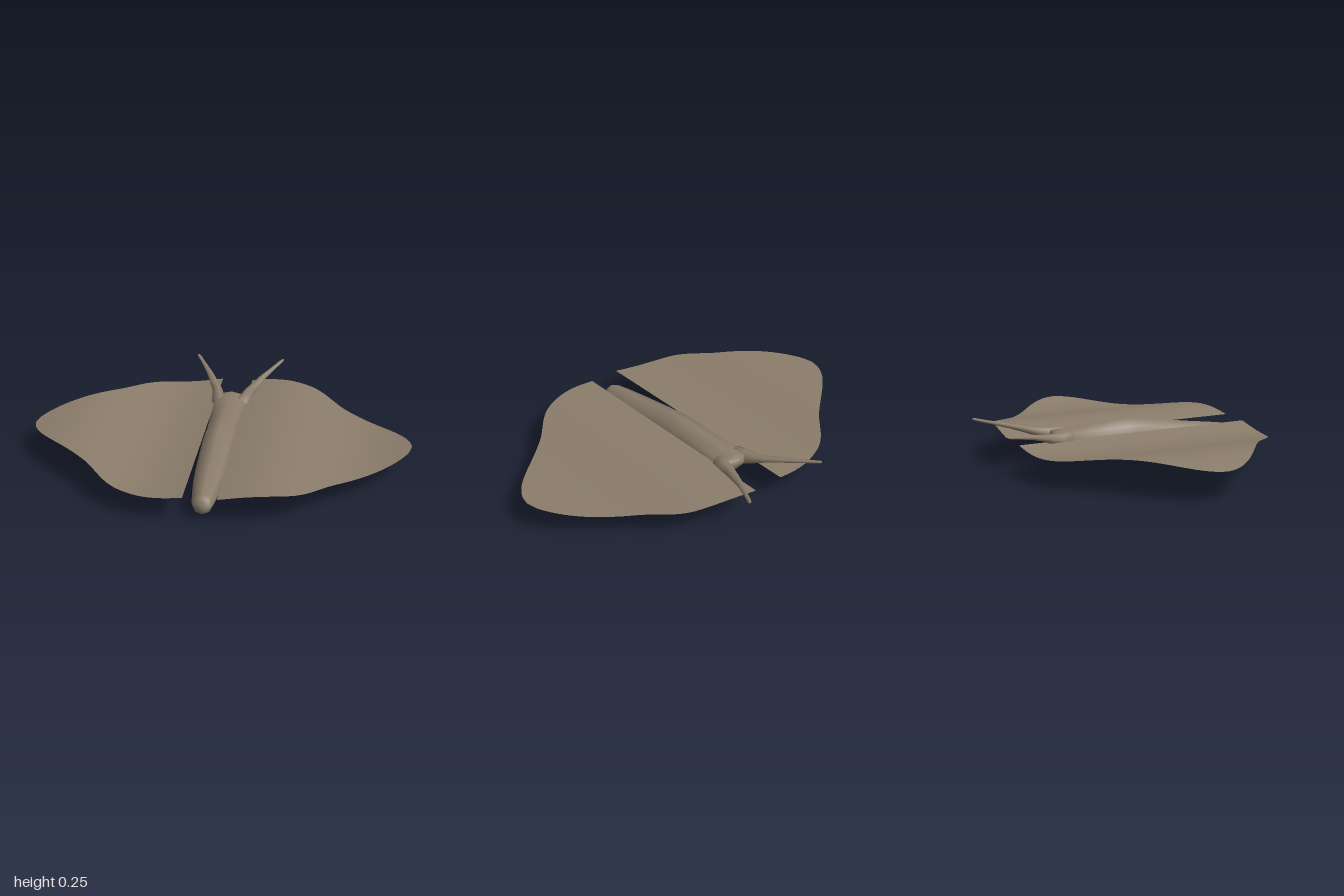
import * as THREE from 'three';

const SIDES = 8;

// Octagonal tube skinned over sections [z, centreX, halfWidth, bottomY, topY], front to back
function loft(sections, side = 1) {
  const pos = [], index = [];
  sections.forEach(([z, cx, w, y0, y1], i) => {
    for (let j = 0; j < SIDES; j++) {
      const a = (j / SIDES) * Math.PI * 2;
      pos.push(side * cx + w * Math.sin(a), (y0 + y1) / 2 + ((y1 - y0) / 2) * Math.cos(a), z);
      if (i === sections.length - 1) continue;
      const p = i * SIDES + j, r = i * SIDES + ((j + 1) % SIDES);
      index.push(p, r, p + SIDES, r, r + SIDES, p + SIDES);
    }
  });
  const g = new THREE.BufferGeometry();
  g.setAttribute('position', new THREE.Float32BufferAttribute(pos, 3));
  g.setIndex(index);
  g.computeVertexNormals();
  return g;
}

// Wing sheet: half chord follows a spline from root to tip, height ripples along the span
function wing(side) {
  const outline = new THREE.SplineCurve([
    [0.085, 0.665], [0.2, 0.657], [0.32, 0.638], [0.43, 0.6], [0.5, 0.55], [0.56, 0.485],
    [0.62, 0.42], [0.71, 0.345], [0.82, 0.255], [0.9, 0.18], [0.95, 0.12], [0.985, 0.06], [1, 0],
  ].map(([x, h]) => new THREE.Vector2(x, h)));
  const g = new THREE.PlaneGeometry(1, 2, 48, 4);
  g.rotateX(-Math.PI / 2);
  const p = g.attributes.position;
  for (let i = 0; i < p.count; i++) {
    const u = p.getX(i) + 0.5;
    const { x, y: half } = outline.getPoint(side > 0 ? u : 1 - u);
    const y = 0.16 + side * 0.025 * Math.cos(7 * (x - 0.3));
    p.setXYZ(i, side * x, y, 0.06 + half * p.getZ(i));
  }
  g.computeVertexNormals();
  return g;
}

export function createModel() {
  const model = new THREE.Group();
  const skin = new THREE.MeshStandardMaterial({ color: 0x8b7d6b, side: THREE.DoubleSide });
  skin.name = 'greyBrownSkin';
  const add = (name, geometry) => {
    const mesh = new THREE.Mesh(geometry, skin);
    mesh.name = name;
    model.add(mesh);
  };

  // Blunt head at the front, deep middle, belly rising to the rear
  add('body', loft([
    [0.682, 0, 0, 0.08, 0.08],
    [0.68, 0, 0.028, 0.052, 0.108],
    [0.665, 0, 0.046, 0.036, 0.128],
    [0.64, 0, 0.054, 0.029, 0.138],
    [0.55, 0, 0.067, 0.02, 0.152],
    [0.45, 0, 0.079, 0.012, 0.165],
    [0.33, 0, 0.087, 0.004, 0.183],
    [0.2, 0, 0.091, 0.0, 0.204],
    [0.1, 0, 0.094, 0.003, 0.218],
    [0.02, 0, 0.095, 0.007, 0.222],
    [-0.08, 0, 0.091, 0.017, 0.217],
    [-0.18, 0, 0.096, 0.038, 0.21],
    [-0.27, 0, 0.103, 0.068, 0.203],
    [-0.34, 0, 0.1, 0.102, 0.2],
    [-0.37, 0, 0.075, 0.122, 0.197],
    [-0.385, 0, 0.04, 0.14, 0.185],
    [-0.387, 0, 0, 0.165, 0.165],
  ]));

  for (const [side, label] of [[1, 'left'], [-1, 'right']]) {
    add(`${label}Wing`, wing(side));
    // Slender forked tail prong sweeping up, out and back
    add(`${label}TailProng`, loft([
      [-0.26, 0.05, 0, 0.14, 0.14],
      [-0.3, 0.058, 0.046, 0.092, 0.199],
      [-0.36, 0.074, 0.036, 0.115, 0.199],
      [-0.42, 0.087, 0.029, 0.143, 0.2],
      [-0.48, 0.114, 0.026, 0.17, 0.206],
      [-0.56, 0.152, 0.019, 0.195, 0.221],
      [-0.65, 0.202, 0.013, 0.217, 0.236],
      [-0.715, 0.239, 0.011, 0.233, 0.248],
      [-0.727, 0.245, 0.007, 0.237, 0.249],
      [-0.73, 0.246, 0, 0.243, 0.243],
    ], side));
  }
  return model;
}
